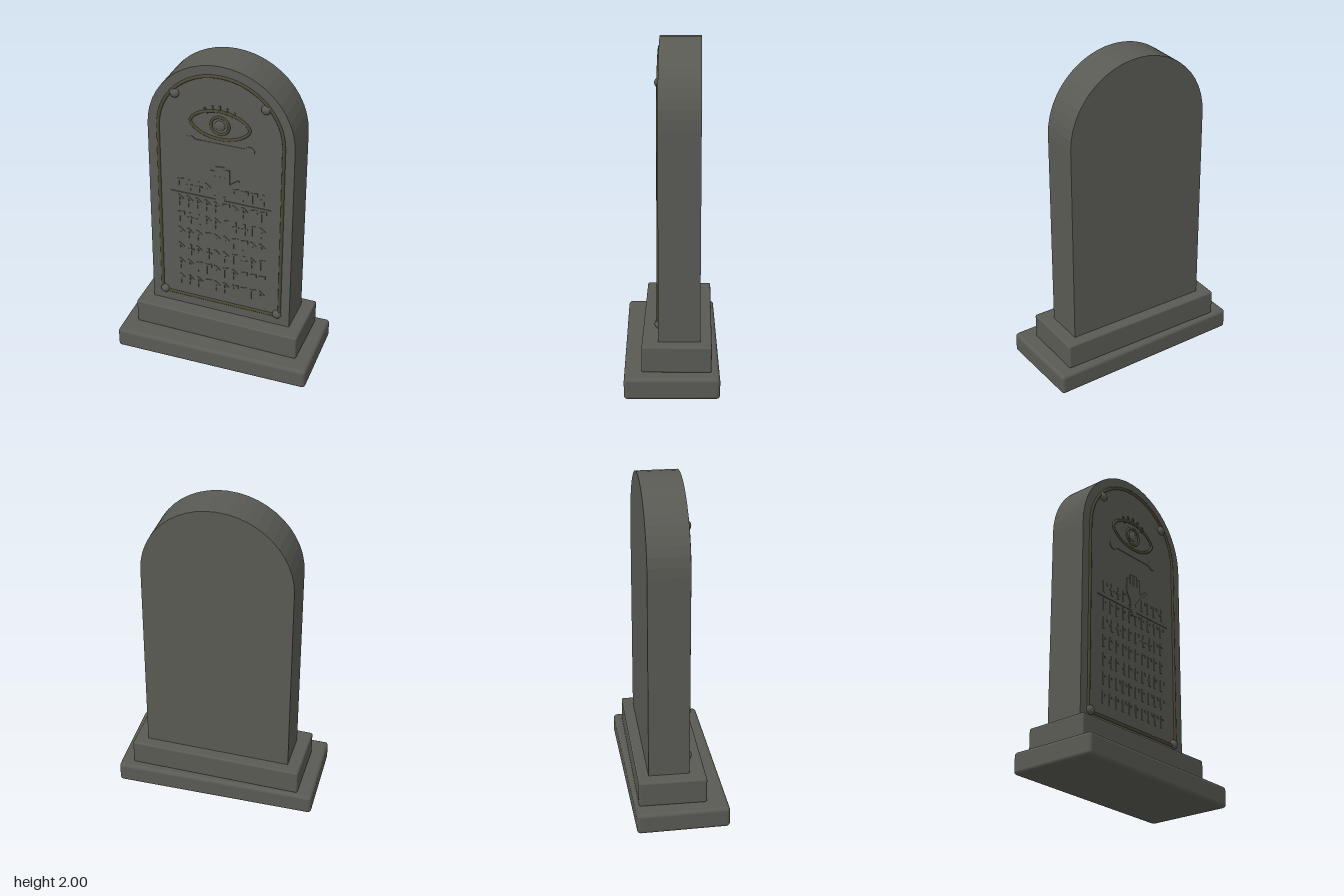
import * as THREE from 'three';
import { mergeGeometries } from 'three/addons/utils/BufferGeometryUtils.js';
import { RoundedBoxGeometry } from 'three/addons/geometries/RoundedBoxGeometry.js';

const FRONT = 0.066, BACK = -0.178, SPRING = 1.55;

export function createModel() {
  const model = new THREE.Group();
  const stone = new THREE.MeshStandardMaterial({ name: 'stone', color: 0x5a5a55 });
  const bronze = new THREE.MeshStandardMaterial({ name: 'darkBronze', color: 0x4c4a34 });

  const add = (name, geometry, material, x = 0, y = 0, z = 0) => {
    const mesh = new THREE.Mesh(geometry, material);
    mesh.name = name;
    mesh.position.set(x, y, z);
    model.add(mesh);
    return mesh;
  };
  const polygon = (pts) => new THREE.Shape(pts.map(([x, y]) => new THREE.Vector2(x, y)));
  const relief = (shape, depth = 0.004) =>
    new THREE.ExtrudeGeometry(shape, { depth, bevelEnabled: false, curveSegments: 12 });
  // Round cord through straight segments, lying in the front plane
  const cord = (pts, radius, steps, closed) => {
    const path = new THREE.CurvePath();
    const v = pts.map(([x, y]) => new THREE.Vector3(x, y, 0));
    if (closed) v.push(v[0].clone());
    for (let i = 1; i < v.length; i++) path.add(new THREE.LineCurve3(v[i - 1], v[i]));
    return new THREE.TubeGeometry(path, steps, radius, 8, closed);
  };

  // Stepped plinth, the lowest block slightly askew
  add('baseBlock', new RoundedBoxGeometry(1.235, 0.13, 0.553, 3, 0.022), stone, 0, 0.07, -0.003)
    .rotation.y = 0.024;
  add('upperPlinth', new RoundedBoxGeometry(1.06, 0.16, 0.405, 3, 0.012), stone, 0, 0.215, -0.042);

  // Round-headed slab
  const slab = new THREE.Shape();
  slab.moveTo(-0.45, 0.28);
  slab.lineTo(0.45, 0.28);
  slab.lineTo(0.45, SPRING);
  slab.absarc(0, SPRING, 0.45, 0, Math.PI, false);
  slab.closePath();
  add('slab', relief(slab, FRONT - BACK), stone, 0, 0, BACK);

  // Border cord following the slab outline
  const border = [[-0.385, 0.365], [0.385, 0.365]];
  for (let i = 0; i <= 24; i++) {
    const a = Math.PI * i / 24;
    border.push([0.385 * Math.cos(a), SPRING + 0.385 * Math.sin(a)]);
  }
  add('borderTrim', cord(border, 0.01, 180, true), bronze, 0, 0, FRONT);

  // Corner studs
  for (const [x, y] of [[0.275, 1.785], [0.37, 0.375]])
    for (const s of [-1, 1])
      add('stud', new THREE.SphereGeometry(0.029, 12, 8), stone, s * x, y, FRONT).scale.z = 0.8;

  // Eye: almond outline, iris, pupil and lashes
  const almond = [];
  for (let i = 0; i < 40; i++) {
    const a = 2 * Math.PI * i / 40;
    almond.push([0.182 * Math.cos(a), 1.628 + 0.09 * Math.sin(a) * Math.pow(Math.abs(Math.sin(a)), 0.25)]);
  }
  add('eyeOutline', cord(almond, 0.009, 80, true), bronze, 0, 0, FRONT);
  add('iris', new THREE.TorusGeometry(0.055, 0.008, 8, 32), bronze, 0, 1.625, FRONT);
  add('pupil', new THREE.SphereGeometry(0.032, 16, 8), stone, 0, 1.625, FRONT).scale.z = 0.3;
  for (let i = -2; i <= 2; i++) {
    const lash = add('eyelash', new THREE.BoxGeometry(0.01, 0.042, 0.012), bronze,
      i * 0.042, 1.732 - 0.006 * i * i, FRONT);
    lash.rotation.z = -i * 0.22;
  }

  // Bone bar beneath the eye
  const bone = new THREE.Shape();
  bone.absarc(0.182, 1.495, 0.03, -2.7, 2.7, false);
  bone.absarc(-0.182, 1.495, 0.03, 0.44, 2 * Math.PI - 0.44, false);
  bone.closePath();
  add('bone', relief(bone), stone, 0, 0, FRONT);

  // Open hand with tapering wrist
  const hand = [[-0.018, 1.08], [0.018, 1.08], [0.018, 1.155], [0.04, 1.2], [0.112, 1.285],
    [0.125, 1.272], [0.06, 1.195], [0.03, 1.15]];
  add('palm', relief(polygon([[0, 1.08], [0.022, 1.12], [0.022, 1.17], [0.05, 1.205], [0.113, 1.287],
    [0.127, 1.274], [0.085, 1.222], [0.113, 1.287], [0.062, 1.235], [0.062, 1.285], [-0.062, 1.285],
    [-0.062, 1.23], [-0.03, 1.18], [-0.022, 1.12]].filter((p, i) => i < 4 || i > 7)), 0.006),
    stone, 0, 0, FRONT);
  add('thumb', relief(polygon([hand[3], hand[5], hand[4], [0.035, 1.225]]), 0.006), stone, 0, 0, FRONT);
  [1.32, 1.352, 1.355, 1.34].forEach((top, i) => {
    const x = -0.047 + i * 0.0313;
    add('finger', new THREE.BoxGeometry(0.026, top - 1.28, 0.006), stone, x, (top + 1.28) / 2, FRONT + 0.003);
  });
  add('wristPoint', relief(polygon([[-0.035, 1.15], [-0.015, 1.085], [0.015, 1.085], [0.035, 1.15]]), 0.005),
    stone, 0, 0, FRONT);
  add('dividingLine', new THREE.BoxGeometry(0.63, 0.01, 0.006), stone, 0, 1.12, FRONT + 0.002);

  // Invented characters: hook, cross and flag
  const flag = polygon([[0, 0], [0.012, 0], [0.012, 0.028], [0.04, 0.05], [0.012, 0.076], [0, 0.076]]);
  flag.holes.push(new THREE.Path([[0.012, 0.04], [0.024, 0.05], [0.012, 0.061]]
    .map(([x, y]) => new THREE.Vector2(x, y))));
  const glyphs = {
    h: polygon([[0, 0], [0.012, 0], [0.012, 0.06], [0.032, 0.068], [0.032, 0.052], [0.042, 0.052],
      [0.042, 0.078], [0, 0.072]]),
    c: polygon([[0.014, 0], [0.026, 0], [0.026, 0.03], [0.042, 0.036], [0.042, 0.046], [0.026, 0.042],
      [0.026, 0.076], [0.014, 0.076], [0.014, 0.046], [0, 0.04], [0, 0.03], [0.014, 0.034]]),
    f: flag,
  };
  const rows = ['hccf  hhhc', 'fffffhffhh', 'hccffhcchf', 'fffhffhhff', 'fcfcffhcfh', 'ffhhfhfhhh', 'fffhffhhhf'];
  const runes = [];
  rows.forEach((row, r) => [...row].forEach((key, c) => {
    if (glyphs[key]) runes.push(relief(glyphs[key]).translate(-0.27 + c * 0.0577, 1.145 - r * 0.1167, 0));
  }));
  add('carvedCharacters', mergeGeometries(runes), stone, 0, 0, FRONT);

  return model;
}
